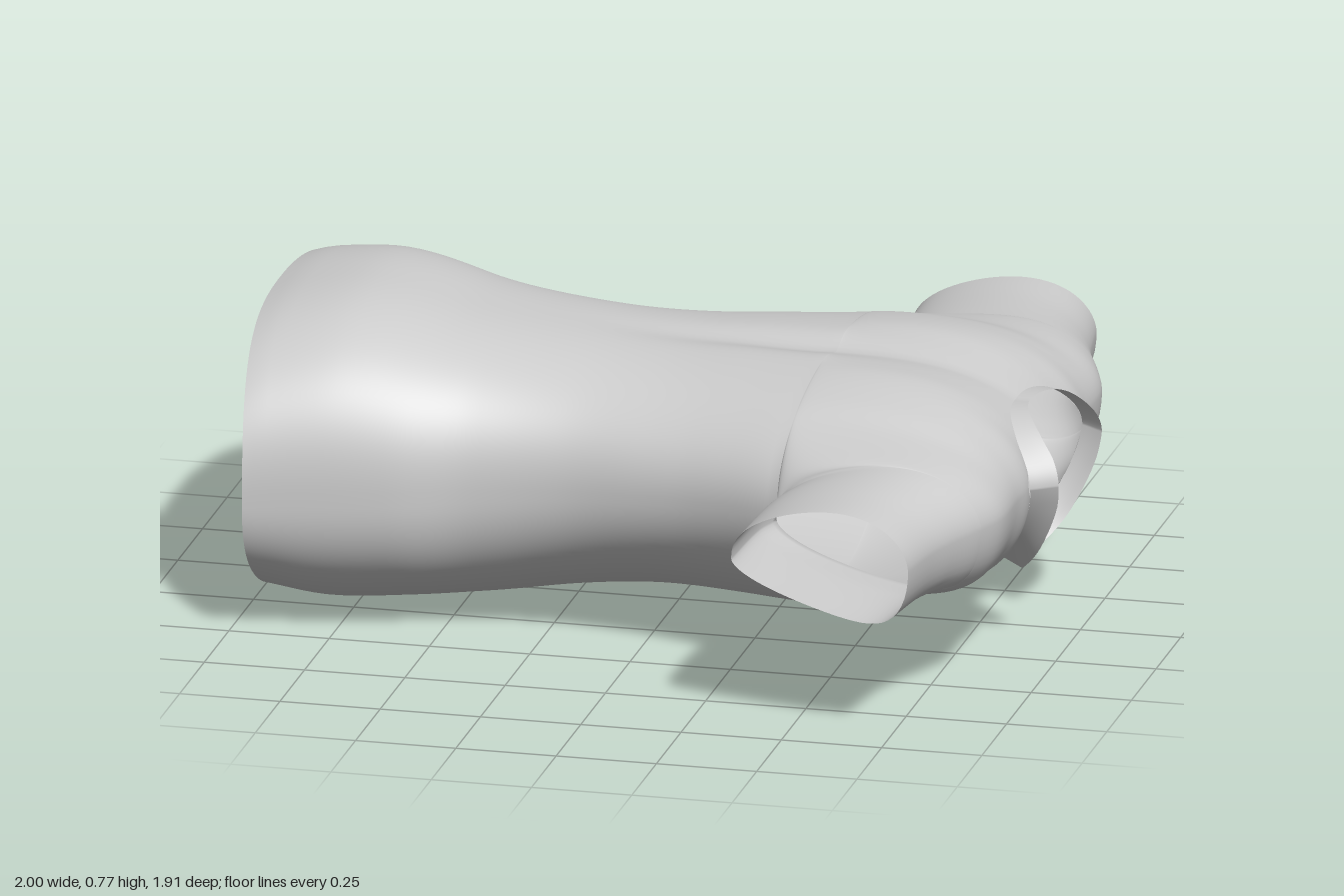
import * as THREE from 'three';
import { mergeGeometries, mergeVertices } from 'three/addons/utils/BufferGeometryUtils.js';

// Smooth curve through [x, y] pairs
function curve(...p) {
  const slope = (i) => {
    const a = p[Math.max(i - 1, 0)], b = p[Math.min(i + 1, p.length - 1)];
    return (b[1] - a[1]) / (b[0] - a[0]);
  };
  return (x) => {
    x = Math.min(Math.max(x, p[0][0]), p[p.length - 1][0]);
    let i = 0;
    while (i < p.length - 2 && x > p[i + 1][0]) i++;
    const d = p[i + 1][0] - p[i][0], t = (x - p[i][0]) / d, t2 = t * t, t3 = t2 * t;
    return p[i][1] * (2 * t3 - 3 * t2 + 1) + p[i + 1][1] * (3 * t2 - 2 * t3)
      + d * (slope(i) * (t3 - 2 * t2 + t) + slope(i + 1) * (t3 - t2));
  };
}
const lerp = THREE.MathUtils.lerp;
const smooth = THREE.MathUtils.smoothstep;

// Torso curves along x
const JOIN = 0.39, ARM = 0.6, NECK = 0.265, EDGE_Y = 0.44;
const backY = curve([-1, 0.74], [-0.93, 0.76], [-0.78, 0.778], [-0.68, 0.768], [-0.5, 0.725], [-0.2, 0.69], [0, 0.68], [0.2, 0.685], [0.39, 0.69]);
const bellyY = curve([-0.95, 0.035], [-0.8, 0.005], [-0.6, 0.013], [-0.4, 0.03], [-0.2, 0.06], [0, 0.08], [0.2, 0.078], [0.39, 0.075]);
const width = curve([-0.95, 0.588], [-0.6, 0.522], [-0.42, 0.467], [-0.2, 0.45], [0, 0.48], [0.22, 0.54], [0.39, ARM]);
const sideY = curve([-1, 0.34], [-0.4, 0.36], [0.39, 0.43]);

// Yoke and sleeve curves along |z|
const shoulderX = curve([0, 0.93], [0.2, 0.93], [0.272, 0.94], [0.35, 0.932], [0.5, 0.93], [0.6, 0.9], [0.7, 0.86], [0.8, 0.83], [0.96, 0.805]);
const underarmX = curve([0.6, JOIN], [0.7, 0.367], [0.96, 0.355]);
const yokeTop = curve([0, 0.665], [0.1, 0.68], [0.2, 0.69], [0.35, 0.665], [0.45, 0.63], [0.6, 0.61], [0.8, 0.597], [0.96, 0.594]);
const yokeLow = curve([0, 0.075], [0.25, 0.09], [0.4, 0.15], [0.5, 0.195], [0.6, 0.235], [0.72, 0.265], [0.96, 0.268]);

// Point on the torso; k is -1..1 across the width
function torso(x, k, top) {
  const n = lerp(top ? 2.6 : 2.3, top ? 2.3 : 2, smooth(x, -0.9, JOIN));
  const c = sideY(x), z = k * width(x);
  const arc = Math.pow(Math.max(0, 1 - Math.pow(Math.abs(k), n)), 1 / n);
  let y = c + ((top ? backY(x) : bellyY(x)) - c) * arc;
  if (top) y -= 0.025 * Math.exp(-((z / 0.06) ** 2)) * smooth(x, -0.3, JOIN);
  return [x, y, z - 0.017 * (1 - smooth(x, 0.1, JOIN))];
}

// How far the cloth runs toward the shoulder edge before the egg-shaped neck opening
function neckEnd(z, top) {
  const r = Math.max(0, 1 - (z / NECK) ** 2);
  return 1 - (top ? 0.17 * r : 0.27 * r * r);
}

// Point on the yoke or sleeve; t runs from torso or underarm to shoulder edge
function yoke(t, z, top) {
  const az = Math.abs(z), inner = az <= ARM + 1e-6;
  const s = (1 - Math.cos(Math.PI * t)) / 2 * neckEnd(z, top);
  const x0 = inner ? JOIN : underarmX(az);
  const y0 = inner ? torso(JOIN, Math.max(-1, Math.min(1, z / ARM)), top)[1] : 0.43;
  const arm = smooth(az, 0.25, 0.75);
  const height = (top ? yokeTop(az) : yokeLow(az)) - EDGE_Y;
  const a = (y0 - EDGE_Y) / height;
  const rise = top ? Math.pow(1 - (1 - s) ** 2, 0.42) : Math.pow(s, 0.58);
  const drop = top
    ? Math.pow(Math.max(0, 1 - Math.pow(s, lerp(2.8, 4, arm))), 0.54)
    : (1 - 0.42 * Math.pow(s, 1.35) * (1 - arm)) * Math.sqrt(Math.max(0, 1 - s ** 8));
  const skew = Math.max(0, az - ARM) / 0.357 * 0.037 * (s - 1);
  return [lerp(x0, shoulderX(az), s), EDGE_Y + height * drop * (a + (1 - a) * rise), z + Math.sign(z) * skew];
}

// Grid surface from point(i, j)
function sheet(nu, nv, point, flip) {
  const pos = [], idx = [];
  for (let i = 0; i <= nu; i++) for (let j = 0; j <= nv; j++) pos.push(...point(i, j));
  for (let i = 0; i < nu; i++) for (let j = 0; j < nv; j++) {
    const a = i * (nv + 1) + j, b = a + 1, c = a + nv + 1, d = c + 1;
    if (flip) idx.push(a, c, b, b, c, d);
    else idx.push(a, b, c, b, d, c);
  }
  const g = new THREE.BufferGeometry();
  g.setAttribute('position', new THREE.Float32BufferAttribute(pos, 3));
  g.setIndex(idx);
  return g;
}

export function createModel() {
  const group = new THREE.Group();
  const material = new THREE.MeshStandardMaterial({ color: 0xcccccc, side: THREE.DoubleSide });
  const add = (name, geometry) => {
    geometry.computeVertexNormals();
    const mesh = new THREE.Mesh(geometry, material);
    mesh.name = name;
    group.add(mesh);
  };

  // Rows across the torso, then out along both sleeves
  const across = 72, arm = 16;
  const k = (j) => Math.sin((j / across - 0.5) * Math.PI);
  const zs = [];
  for (let j = -arm; j <= across + arm; j++) {
    if (j < 0) zs.push(-ARM + j / arm * 0.357);
    else if (j > across) zs.push(ARM + (j - across) / arm * 0.357);
    else zs.push(ARM * k(j));
  }

  // Shirt shell: back and belly sheets sewn along the sides
  const parts = [];
  for (const top of [true, false]) {
    parts.push(sheet(48, across, (i, j) => {
      const hem = top ? -1 + 0.05 * k(j) ** 2 : -0.95 + 0.01 * (1 - k(j) ** 2);
      return torso(lerp(hem, JOIN, i / 48), k(j), top);
    }, !top));
    parts.push(sheet(32, zs.length - 1, (i, j) => yoke(i / 32, zs[j], top), !top));
  }
  add('shirtBodyAndSleeves', mergeVertices(mergeGeometries(parts), 1e-4));

  // Collar band following the neck edge, open at the throat
  const edge = [], steps = 96, throat = 1.18;
  for (let i = 0; i <= steps; i++) {
    const a = lerp(-throat, Math.PI + throat, i / steps);
    edge.push(yoke(1, NECK * Math.cos(a), a >= 0 && a <= Math.PI));
  }
  add('collar', sheet(steps, 4, (i, j) => {
    const [x, y, z] = edge[i], t = j / 4;
    const side = Math.min(1, Math.abs(z) / 0.24);
    const upper = y > EDGE_Y;
    const lift = lerp(0.035, 0.06, upper ? side : Math.max(side, 0.8));
    const drop = upper ? 0 : (EDGE_Y - y) * 0.14;
    return [x + lift * t, y - drop * t, z * (1 - 0.17 * t * side)];
  }, true));

  return group;
}
